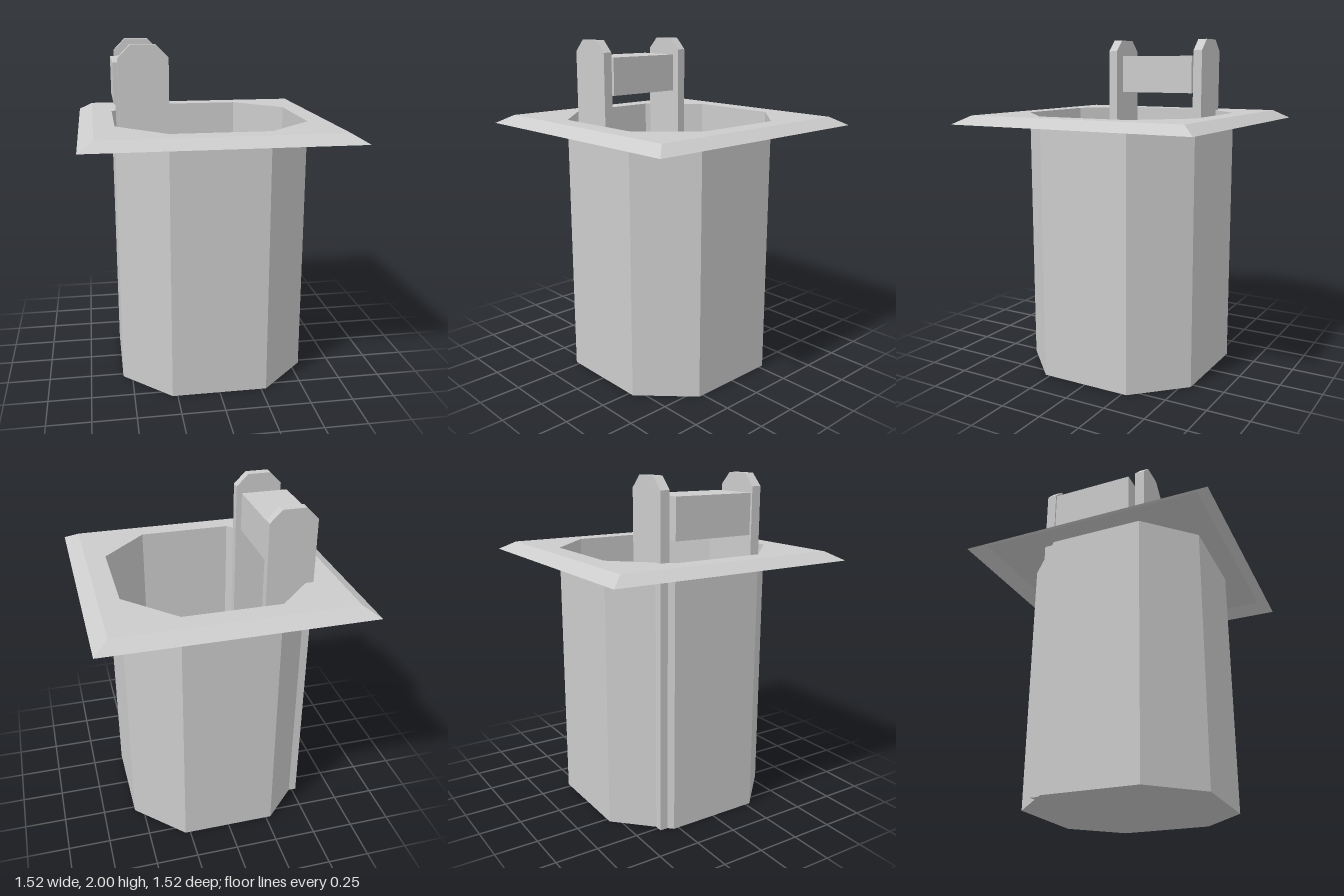
import * as THREE from 'three';

const material = new THREE.MeshStandardMaterial({ color: 0xcccccc, flatShading: true, side: THREE.DoubleSide });

const WALL = 0.555, CUT = 0.28, RIM_TOP = 1.555, RIM_LOW = 1.505;

// Counter-clockwise outlines in plan
const octagon = [[WALL, -CUT], [WALL, CUT], [CUT, WALL], [-CUT, WALL],
  [-WALL, CUT], [-WALL, -CUT], [-CUT, -WALL], [CUT, -WALL]];
const square = (r) => [[r, -r], [r, r], [-r, r], [-r, -r]];
const toShape = (loop) => new THREE.Shape(loop.map(([x, y]) => new THREE.Vector2(x, y)));

// Open band of flat faces between two outlines at two heights
function band(lower, y0, upper, y1) {
  const pos = [];
  lower.forEach((a, i) => {
    const j = (i + 1) % lower.length;
    const A = [a[0], y0, -a[1]], B = [lower[j][0], y0, -lower[j][1]];
    const C = [upper[j][0], y1, -upper[j][1]], D = [upper[i][0], y1, -upper[i][1]];
    pos.push(...A, ...B, ...C, ...A, ...C, ...D);
  });
  const g = new THREE.BufferGeometry();
  g.setAttribute('position', new THREE.Float32BufferAttribute(pos, 3));
  g.computeVertexNormals();
  return g;
}

export function createModel() {
  const model = new THREE.Group();
  const add = (name, geometry, x = 0, y = 0, z = 0) => {
    const mesh = new THREE.Mesh(geometry, material);
    mesh.name = name;
    mesh.position.set(x, y, z);
    model.add(mesh);
  };

  // Thin-walled octagonal shaft, open at the top
  add('shaftWall', band(octagon, 0, octagon, RIM_TOP));
  add('shaftFloor', new THREE.ShapeGeometry(toShape(octagon)).rotateX(Math.PI / 2));

  // Square rim with an octagonal opening and sloped skirt, hollow below
  const rim = toShape(square(0.675));
  rim.holes.push(new THREE.Path(toShape(octagon).getPoints().reverse()));
  add('rimTop', new THREE.ShapeGeometry(rim).rotateX(-Math.PI / 2), 0, RIM_TOP, 0);
  add('rimSkirt', band(square(0.76), RIM_LOW, square(0.675), RIM_TOP));

  // Full-height posts with chamfered tops
  const post = toShape([[-0.527, 0], [-0.25, 0], [-0.25, 1.93], [-0.32, 2], [-0.458, 2], [-0.527, 1.93]]);
  const postGeometry = new THREE.ExtrudeGeometry(post, { depth: 0.057, bevelEnabled: false });
  add('frontPost', postGeometry, 0, 0, 0.246);
  add('backPost', postGeometry, 0, 0, -0.355);

  // Block held between the posts
  add('crossBlock', new THREE.BoxGeometry(0.28, 0.23, 0.49), -0.413, 1.783, -0.032);

  return model;
}
